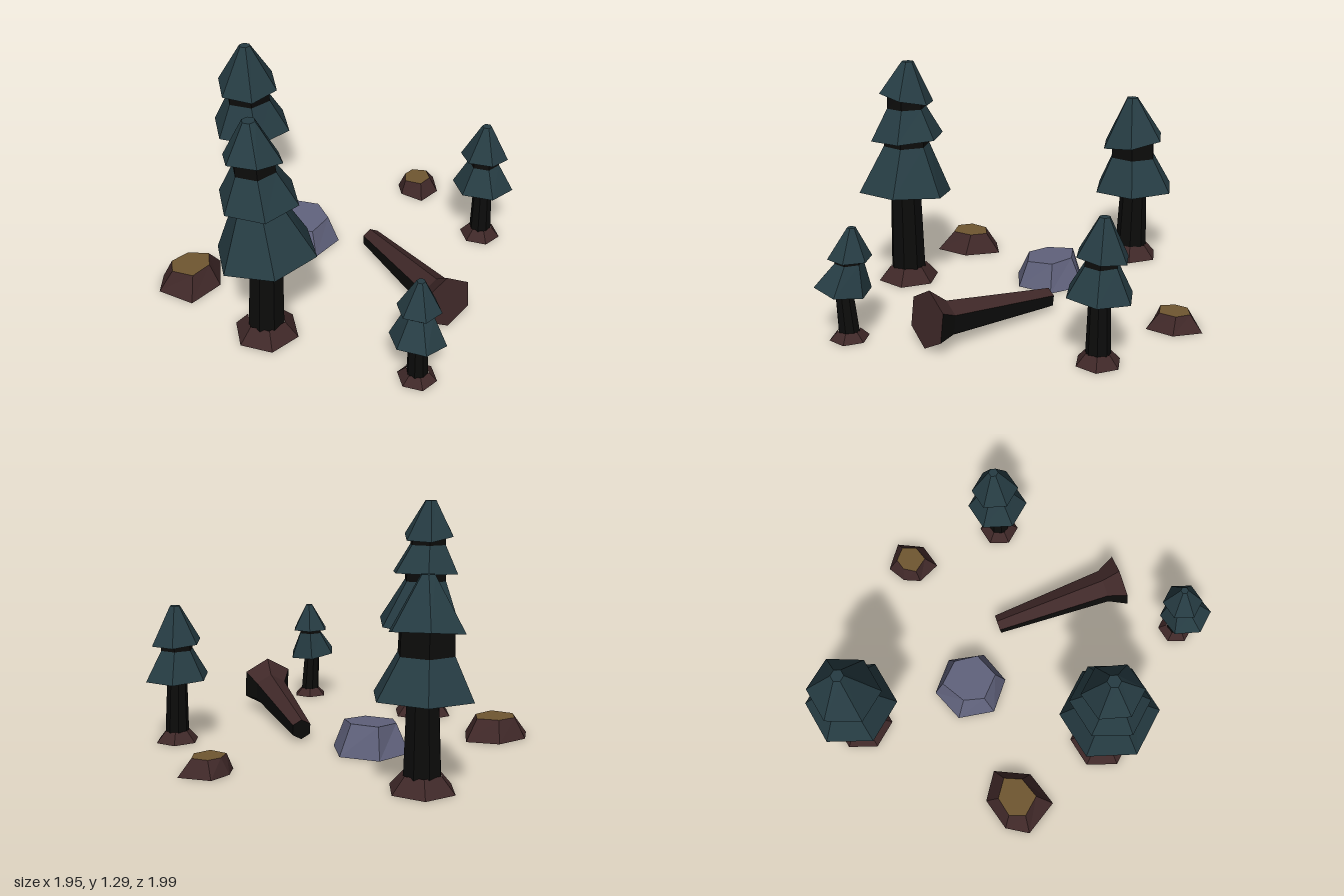
import * as THREE from 'three';

const material = (name, color) => {
  const m = new THREE.MeshStandardMaterial({ color });
  m.name = name;
  return m;
};

// Regular ring around a centre; sx and sz tilt its height
function ring([cx, cy, cz], r, rot = 0, sides = 6, sx = 0, sz = 0) {
  return Array.from({ length: sides }, (_, k) => {
    const a = rot + (k * Math.PI * 2) / sides;
    const x = r * Math.cos(a), z = r * Math.sin(a);
    return new THREE.Vector3(cx + x, cy + x * sx + z * sz, cz + z);
  });
}

// Ring from [x, z] outline points at one height
const outline = (points, y) => points.map(([x, z]) => new THREE.Vector3(x, y, z));

// Flat polygon; up chooses which way it faces
function cap(loop, up) {
  const c = loop.reduce((s, p) => s.add(p), new THREE.Vector3()).divideScalar(loop.length);
  const tris = [];
  loop.forEach((p, k) => {
    const q = loop[(k + 1) % loop.length];
    tris.push(...(up ? [c, q, p] : [c, p, q]));
  });
  return tris;
}

// Side walls joining successive rings, optionally only some faces
function walls(rings, faces) {
  const tris = [];
  for (let i = 0; i + 1 < rings.length; i++) {
    const a = rings[i], b = rings[i + 1];
    for (let k = 0; k < a.length; k++) {
      if (faces && !faces.includes(k)) continue;
      const n = (k + 1) % a.length;
      tris.push(a[k], b[k], a[n], a[n], b[k], b[n]);
    }
  }
  return tris;
}

function part(parent, name, tris, mat) {
  const geo = new THREE.BufferGeometry().setFromPoints(tris);
  geo.computeVertexNormals();
  const mesh = new THREE.Mesh(geo, mat);
  mesh.name = name;
  parent.add(mesh);
}

export function createModel() {
  const model = new THREE.Group();
  model.name = 'forestSet';

  const needles = material('needles', 0x263c43);
  const darkBark = material('darkBark', 0x0c0c0b);
  const brownBark = material('brownBark', 0x3f2828);
  const cutWood = material('cutWood', 0x705731);
  const stone = material('stone', 0x60627c);
  for (const m of [needles, darkBark, brownBark, cutWood, stone]) m.flatShading = true;

  // Tiers: [x, y, z, radius, topX, topY, topZ, topRadius, tiltX, tiltZ]
  const trees = [
    { name: 'backLeftTree', foot: [-0.68, -0.745], root: [0.17, 0.08], trunk: [0.095, 0.078], tiers: [
      [-0.68, 0.445, -0.75, 0.255, -0.69, 0.645, -0.74, 0.145, 0, -0.03],
      [-0.69, 0.74, -0.735, 0.195, -0.69, 1.01, -0.725, 0.035, -0.03, -0.17]] },
    { name: 'tallTree', foot: [-0.29, 0.62], root: [0.18, 0.085], trunk: [0.102, 0.088], tiers: [
      [-0.27, 0.54, 0.62, 0.272, -0.3, 0.815, 0.61, 0.135, 0.11, 0.04],
      [-0.3, 0.86, 0.605, 0.212, -0.315, 1.03, 0.605, 0.115, 0, -0.05],
      [-0.32, 1.085, 0.605, 0.158, -0.333, 1.29, 0.595, 0.035, 0, 0.22]] },
    { name: 'rightTree', foot: [0.805, -0.43], root: [0.12, 0.06], trunk: [0.064, 0.052], tiers: [
      [0.795, 0.355, -0.43, 0.178, 0.79, 0.51, -0.435, 0.09, 0, 0.06],
      [0.79, 0.55, -0.44, 0.138, 0.79, 0.75, -0.445, 0.028, 0, 0.1]] },
    { name: 'smallTree', foot: [0.54, 0.835], root: [0.105, 0.045], trunk: [0.057, 0.045], tiers: [
      [0.533, 0.277, 0.857, 0.148, 0.53, 0.415, 0.82, 0.075, -0.05, 0.17],
      [0.53, 0.44, 0.815, 0.115, 0.53, 0.6, 0.8, 0.022, 0, 0.03]] },
  ];
  const turn = 0.15;
  for (const { name, foot: [x, z], root: [rootR, rootH], trunk: [low, high], tiers } of trees) {
    const tree = new THREE.Group();
    tree.name = name;
    model.add(tree);

    // Flared root and trunk
    const base = ring([x, 0, z], rootR, turn);
    part(tree, 'root', walls([base, ring([x, rootH, z], low * 1.04, turn)]), brownBark);
    part(tree, 'rootUnderside', cap(base, false), darkBark);
    const first = tiers[0];
    part(tree, 'trunk', walls([ring([x, rootH * 0.7, z], low, turn, 8),
      ring([first[0], first[1] + 0.05, first[2]], high, turn, 8)]), darkBark);

    // Needle tiers with dark undersides and dark bands between them
    tiers.forEach(([cx, cy, cz, r, tx, ty, tz, tr, sx, sz], i) => {
      const rim = ring([cx, cy, cz], r, turn, 6, sx, sz);
      const top = ring([tx, ty, tz], tr, turn);
      part(tree, 'needleTier', [...walls([rim, top]), ...cap(top, true)], needles);
      part(tree, 'tierUnderside', cap(rim, false), darkBark);
      const above = tiers[i + 1];
      if (above) {
        const neck = ring([above[0], above[1] + 0.02, above[2]], tr * 0.97, turn, 6, above[8], above[9]);
        part(tree, 'trunkBand', walls([top, neck]), darkBark);
      }
    });
  }

  // Tree stumps: base outline, cut face outline, height
  const stumps = [
    { name: 'leftStump', h: 0.115,
      base: [[-0.87, 0.11], [-0.69, 0.09], [-0.635, 0.3], [-0.75, 0.48], [-0.96, 0.41], [-0.98, 0.27]],
      top: [[-0.85, 0.18], [-0.73, 0.17], [-0.7, 0.27], [-0.765, 0.38], [-0.89, 0.36], [-0.92, 0.27]] },
    { name: 'backStump', h: 0.085,
      base: [[0.3, -0.985], [0.475, -1], [0.515, -0.84], [0.425, -0.71], [0.29, -0.77], [0.26, -0.87]],
      top: [[0.34, -0.94], [0.43, -0.94], [0.46, -0.86], [0.41, -0.78], [0.31, -0.8], [0.3, -0.88]] },
  ];
  for (const s of stumps) {
    const stump = new THREE.Group();
    stump.name = s.name;
    model.add(stump);
    const base = outline(s.base, 0), top = outline(s.top, s.h);
    part(stump, 'stumpBark', walls([base, top]), brownBark);
    part(stump, 'cutFace', cap(top, true), cutWood);
    part(stump, 'stumpUnderside', cap(base, false), darkBark);
  }

  // Boulder
  const rockBase = outline([[-0.36, -0.41], [-0.14, -0.41], [-0.035, -0.22],
    [-0.14, -0.04], [-0.35, -0.035], [-0.46, -0.22]], 0);
  const rockTop = outline([[-0.335, -0.36], [-0.18, -0.345], [-0.1, -0.23],
    [-0.17, -0.09], [-0.33, -0.1], [-0.385, -0.21]], 0.155);
  rockTop.forEach((p) => { p.y += (-0.22 - p.z) * 0.08; });
  part(model, 'boulder', [...walls([rockBase, rockTop]), ...cap(rockTop, true)], stone);
  part(model, 'boulderUnderside', cap(rockBase, false), darkBark);

  // Fallen log: rings across a gently rising axis, ending in a flared root
  const axis = new THREE.Vector3(0.48, 0.09, 0.6).normalize();
  const side = new THREE.Vector3().crossVectors(axis, new THREE.Vector3(0, 1, 0)).normalize();
  const up = new THREE.Vector3().crossVectors(side, axis);
  const logRing = (x, y, z, r) => Array.from({ length: 6 }, (_, k) => {
    const a = Math.PI / 6 + (k * Math.PI) / 3;
    return new THREE.Vector3(x, y, z).addScaledVector(side, r * Math.cos(a)).addScaledVector(up, r * Math.sin(a));
  });
  const logRings = [logRing(0.163, 0.062, -0.198, 0.057), logRing(0.595, 0.13, 0.335, 0.1),
    logRing(0.657, 0.155, 0.42, 0.155)];
  const log = new THREE.Group();
  log.name = 'fallenLog';
  model.add(log);
  part(log, 'logTop', walls(logRings, [0, 1]), brownBark);
  part(log, 'logSides', [...walls(logRings, [2, 3, 4, 5]), ...cap(logRings[0], false)], darkBark);
  part(log, 'logRootFace', cap(logRings[2], true), brownBark);

  return model;
}
